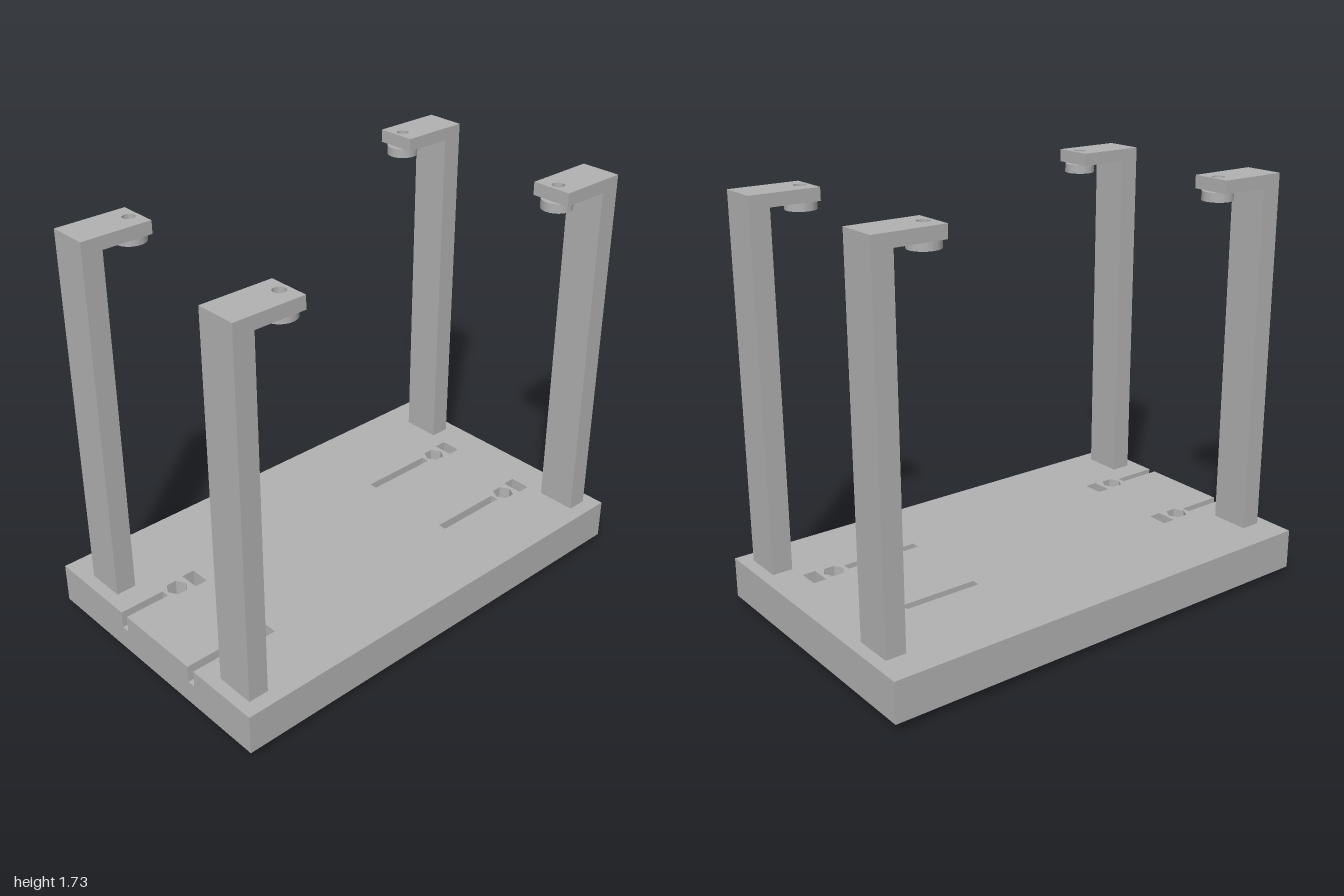
import * as THREE from 'three';
import { toCreasedNormals } from 'three/addons/utils/BufferGeometryUtils.js';

const polygon = (points, Type = THREE.Path) => new Type(points.map(([x, z]) => new THREE.Vector2(x, z)));
const rect = (x0, x1, z0, z1, Type) => polygon([[x0, z0], [x1, z0], [x1, z1], [x0, z1]], Type);
const circle = (x, z, r, Type = THREE.Path) => new Type().absarc(x, z, r, 0, Math.PI * 2);
const hexagon = (x, z, r) => polygon([0, 1, 2, 3, 4, 5].map((i) =>
  [x + r * Math.cos(i * Math.PI / 3), z + r * Math.sin(i * Math.PI / 3)]));

// Plate drawn in x and z, reaching from y0 up to y1
function plate(shape, y0, y1) {
  const geometry = new THREE.ExtrudeGeometry(shape, { depth: y1 - y0, bevelEnabled: false, curveSegments: 24 });
  geometry.rotateX(Math.PI / 2).translate(0, y1, 0);
  return toCreasedNormals(geometry, 0.6);
}

export function createModel() {
  const model = new THREE.Group();
  model.name = 'clampStand';
  const grey = new THREE.MeshStandardMaterial({ color: 0xb2b2b2 });
  grey.name = 'grey';

  const add = (parent, name, geometry) => {
    const mesh = new THREE.Mesh(geometry, grey);
    mesh.name = name;
    parent.add(mesh);
  };

  const boltX = [-0.745, 0.738];
  const boltZ = [-0.175, 0.255];
  const bottom = 0.038, pocketFloor = 0.135, top = 0.208;

  // Base: lower layer with bolt holes
  const base = new THREE.Group();
  base.name = 'base';
  model.add(base);
  const lower = rect(-1, 1, -0.602, 0.602, THREE.Shape);
  for (const x of boltX) for (const z of boltZ) lower.holes.push(circle(x, z, 0.025));
  add(base, 'baseLower', plate(lower, bottom, pocketFloor));

  // Base: upper layer with slots running out of the -x edge, nut pockets and rectangular pockets
  const outline = [[-1, -0.602], [1, -0.602], [1, 0.602], [-1, 0.602]];
  for (const z of [...boltZ].reverse()) {
    outline.push([-1, z + 0.018], [-0.803, z + 0.018], [-0.803, z - 0.018], [-1, z - 0.018]);
  }
  const upper = polygon(outline, THREE.Shape);
  for (const z of boltZ) {
    upper.holes.push(rect(0.346, 0.68, z - 0.018, z + 0.018));
    for (const x of boltX) {
      upper.holes.push(hexagon(x, z, 0.045));
      upper.holes.push(rect(x + 0.06, x + 0.116, z - 0.045, z + 0.045));
    }
  }
  add(base, 'baseUpper', plate(upper, pocketFloor, top));

  // Locating tabs under the base
  for (const x of [-0.4, 0.38]) {
    add(base, 'bottomTab', plate(rect(x - 0.05, x + 0.05, -0.066, 0.066, THREE.Shape), 0, bottom));
  }

  // Four posts with inward arms and socket screws
  const armBottom = 1.675, postTop = 1.728;
  for (const side of [-1, 1]) {
    for (const z of [-0.382, 0.455]) {
      const leg = new THREE.Group();
      leg.name = (side > 0 ? 'left' : 'right') + (z > 0 ? 'Front' : 'Back') + 'Leg';
      model.add(leg);

      const post = new THREE.BoxGeometry(0.086, armBottom - top, 0.168);
      add(leg, 'post', post.translate(side * 0.905, (armBottom + top) / 2, z));

      const ends = [side * 0.65, side * 0.948].sort((a, b) => a - b);
      const screwX = side * 0.69;
      const arm = rect(ends[0], ends[1], z - 0.084, z + 0.084, THREE.Shape);
      arm.holes.push(circle(screwX, z, 0.025));
      add(leg, 'arm', plate(arm, armBottom, postTop));

      const head = circle(screwX, z, 0.063, THREE.Shape);
      add(leg, 'screwHeadTop', plate(head, 1.662, armBottom));
      const rim = circle(screwX, z, 0.063, THREE.Shape);
      rim.holes.push(hexagon(screwX, z, 0.034));
      add(leg, 'screwHeadSocket', plate(rim, 1.637, 1.662));
    }
  }
  return model;
}
